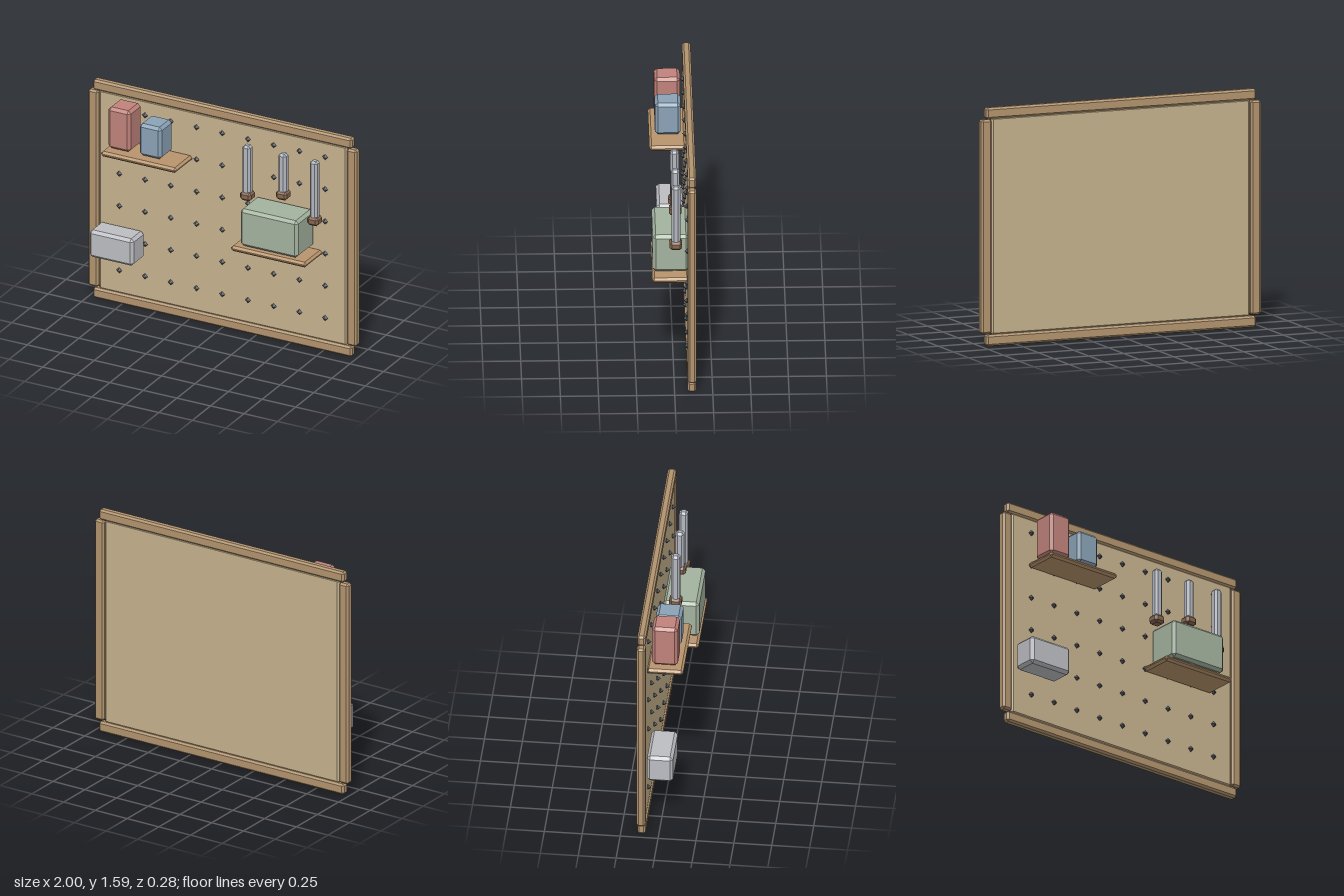
import * as THREE from 'three';
import { ConvexGeometry } from 'three/addons/geometries/ConvexGeometry.js';

const material = (color) => new THREE.MeshStandardMaterial({ color, flatShading: true });

// Box with flat chamfers, given by its [min, max] range on each axis
function chamferBox(name, mat, xr, yr, zr, bevel) {
  const ranges = [xr, yr, zr];
  const half = ranges.map(([a, b]) => (b - a) / 2);
  const points = [];
  for (let axis = 0; axis < 3; axis++)
    for (const sx of [-1, 1]) for (const sy of [-1, 1]) for (const sz of [-1, 1]) {
      const p = [sx, sy, sz].map((s, i) => s * (half[i] - (i === axis ? 0 : bevel)));
      points.push(new THREE.Vector3(...p));
    }
  const mesh = new THREE.Mesh(new ConvexGeometry(points), mat);
  mesh.name = name;
  mesh.position.set(...ranges.map(([a, b]) => (a + b) / 2));
  return mesh;
}

export function createModel() {
  const model = new THREE.Group();
  model.name = 'pegboard';

  const wood = material(0xb2946f);
  const board = material(0xc5b18d);
  const shelfWood = material(0xb8946c);
  const handleWood = material(0x86664e);
  const steel = material(0xb4b8c0);
  const pegMetal = material(0x50555c);

  // Back panel and frame
  const frameZ = [-0.142, -0.086];
  model.add(chamferBox('panel', board, [-0.925, 0.925], [0.07, 1.52], [-0.133, -0.094], 0.014));
  for (const [name, y] of [['bottomRail', 0], ['topRail', 1.51]])
    model.add(chamferBox(name, wood, [-0.965, 0.965], [y, y + 0.075], frameZ, 0.013));
  for (const [name, s] of [['leftStile', 1], ['rightStile', -1]]) {
    const x = s * 0.9625;
    model.add(chamferBox(name, wood, [x - 0.0375, x + 0.0375], [0.082, 1.507], frameZ, 0.013));
  }

  // Grid of small pegs
  const pegs = new THREE.Group();
  pegs.name = 'pegs';
  const pegGeometry = new THREE.OctahedronGeometry(0.021);
  for (let row = 0; row < 6; row++)
    for (let col = 0; col < 9; col++) {
      const peg = new THREE.Mesh(pegGeometry, pegMetal);
      peg.name = 'peg';
      peg.position.set((col - 4) * 0.1917, 0.243 + row * 0.2337, -0.089);
      pegs.add(peg);
    }
  model.add(pegs);

  // Shelves
  const shelfZ = [-0.1, 0.142];
  model.add(chamferBox('upperShelf', shelfWood, [-0.785, -0.222], [1.16, 1.198], shelfZ, 0.015));
  model.add(chamferBox('lowerShelf', shelfWood, [0.183, 0.746], [0.692, 0.73], shelfZ, 0.015));

  // Boxes on the shelves and the bin on the board
  const boxes = [
    ['redBox', 0xc0827a, [-0.753, -0.586], [1.212, 1.51], [-0.067, 0.103]],
    ['blueBox', 0x8aa2b6, [-0.521, -0.354], [1.212, 1.443], [-0.067, 0.103]],
    ['greenBox', 0xa3b29e, [0.25, 0.68], [0.744, 1.012], [-0.1, 0.138]],
    ['wallBin', 0xbcbdc2, [-0.902, -0.573], [0.381, 0.577], [-0.085, 0.087]],
  ];
  for (const [name, color, x, y, z] of boxes)
    model.add(chamferBox(name, material(color), x, y, z, 0.02));

  // Hanging tools: steel shaft above a wooden handle
  const around = (c, r) => [c - r, c + r];
  for (const [x, handleY] of [[0.23, 1.047], [0.497, 1.113], [0.731, 0.979]]) {
    const tool = new THREE.Group();
    tool.name = 'tool';
    tool.add(chamferBox('shaft', steel, around(x, 0.029), [handleY, 1.411], around(-0.013, 0.029), 0.015));
    tool.add(chamferBox('handle', handleWood, around(x, 0.041), around(handleY, 0.031), around(-0.013, 0.041), 0.016));
    model.add(tool);
  }

  return model;
}
